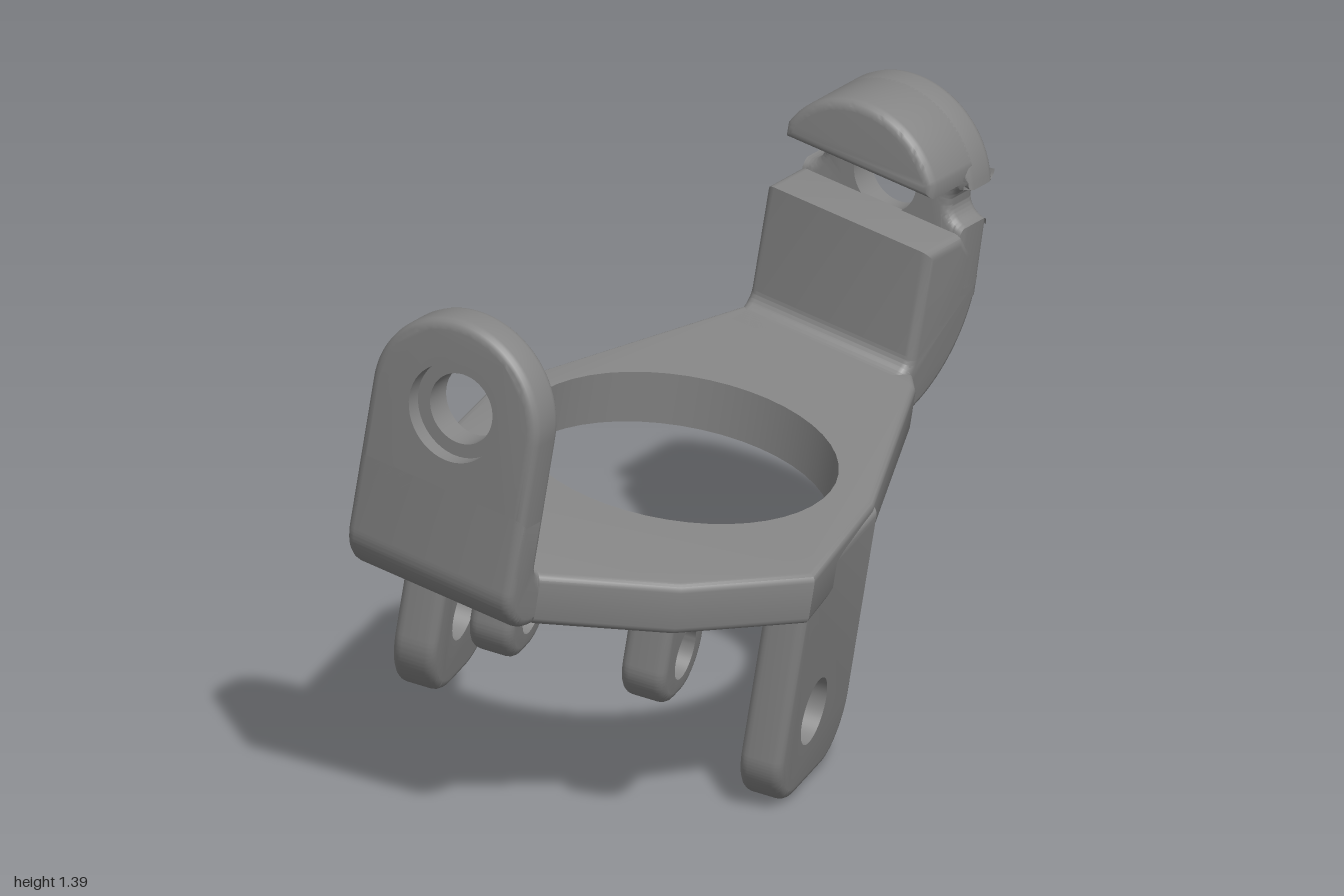
import * as THREE from 'three';
import { toCreasedNormals } from 'three/addons/utils/BufferGeometryUtils.js';

const PI = Math.PI;
const ROLL = -10 * PI / 180;      // whole bracket leans sideways
const YAW = 13.5 * PI / 180;      // leg axis is turned against the arm axis
const TOP = -0.39, BOTTOM = -0.525; // plate faces, measured from the arm pivot
const HALF = 0.24;                // half width of arms and legs

const material = new THREE.MeshStandardMaterial({ color: 0x858585 });

// Rounded slab, centred in depth; holes [x, y, r] keep straight, sharp walls
function slab(shape, depth, bevel, holes = []) {
  for (const [x, y, r] of holes) {
    const path = new THREE.Path();
    path.absarc(x, y, r, 0, 2 * PI, true);
    shape.holes.push(path);
  }
  const geo = new THREE.ExtrudeGeometry(shape, {
    depth: depth - 2 * bevel, curveSegments: 24, bevelEnabled: bevel > 0,
    bevelThickness: bevel, bevelSize: bevel, bevelOffset: -bevel, bevelSegments: 4,
  });
  geo.translate(0, 0, bevel - depth / 2);
  const p = geo.attributes.position;
  for (let i = 0; i < p.count; i++) {
    for (const [x, y, r] of holes) {
      const dx = p.getX(i) - x, dy = p.getY(i) - y, d = Math.hypot(dx, dy);
      if (d < r + bevel + 0.003) p.setXY(i, x + dx * r / d, y + dy * r / d);
    }
  }
  return toCreasedNormals(geo, 0.65);
}

function add(parent, name, geo, x = 0, y = 0, z = 0) {
  const mesh = new THREE.Mesh(geo, material);
  mesh.name = name;
  mesh.position.set(x, y, z);
  parent.add(mesh);
}

// Upright arm outline with a domed top, optionally notched at both sides
function earShape(bottom, notched) {
  const s = new THREE.Shape();
  s.moveTo(-HALF, bottom);
  s.lineTo(HALF, bottom);
  if (notched) s.absarc(0.235, 0, 0.05, -PI / 2, PI / 2, true);
  const a = notched ? 0.23 : 0;
  s.absarc(0, 0, HALF, a, PI - a, false);
  if (notched) s.absarc(-0.235, 0, 0.05, PI / 2, -PI / 2, true);
  s.closePath();
  return s;
}

// Side profile of a bend from plate to arm: inner face, outer radius, top steps
function bendShape(start, inner, R, steps) {
  const s = new THREE.Shape(), f = 0.04;
  s.moveTo(start, TOP);
  s.lineTo(start, BOTTOM);
  s.absarc(1 - R, BOTTOM + R, R, -PI / 2, 0, false);
  for (const [x, y] of steps) s.lineTo(x, y);
  s.absarc(inner - f, TOP + f, f, 0, -PI / 2, true);
  s.closePath();
  return s;
}

// Hanging lug outline with rounded lower corners
function lugShape(centre, half, top, bottom, r) {
  const s = new THREE.Shape();
  s.moveTo(centre + half, top);
  s.lineTo(centre - half, top);
  s.absarc(centre - half + r, bottom + r, r, PI, 1.5 * PI, false);
  s.absarc(centre + half - r, bottom + r, r, 1.5 * PI, 2 * PI, false);
  s.closePath();
  return s;
}

// Washer-like floor of a counterbore
function boreStep(depth) {
  const s = new THREE.Shape();
  s.absarc(0, 0, 0.125, 0, 2 * PI, false);
  return slab(s, depth, 0, [[0, 0, 0.09]]);
}

export function createModel() {
  const model = new THREE.Group();
  model.name = 'pivotBracket';
  const body = new THREE.Group();
  body.name = 'tiltedBody';
  body.position.set(-0.02, 1.145, 0);
  body.rotation.z = ROLL;
  model.add(body);

  // Base plate with the large round opening
  const cx = 0.082, cz = 0.035;
  const outline = [
    [-0.235, -0.76], [0.235, -0.76], [0.285, -0.7], [0.562, -0.105], [0.686, 0.335],
    [0.5, 0.64], [0.237, 0.87], [-0.235, 0.87], [-0.315, 0.57], [-0.412, 0.11],
  ].map(([x, z]) => new THREE.Vector2(x, z));
  const plate = slab(new THREE.Shape(outline), TOP - BOTTOM, 0.02, [[cx, cz, 0.39]]);
  plate.rotateX(PI / 2);
  add(body, 'basePlate', plate, 0, (TOP + BOTTOM) / 2, 0);

  // Front arm: bend, upright ear and counterbored pivot hole
  const frontBend = slab(
    bendShape(0.8, 0.89, 0.125, [[1, -0.2], [0.89, -0.2]]), 2 * HALF, 0.025);
  frontBend.rotateY(-PI / 2);
  add(body, 'frontBend', frontBend);
  add(body, 'frontEar', slab(earShape(-0.36, false), 0.11, 0.025, [[0, 0, 0.125]]), 0, 0, 0.945);
  add(body, 'frontBoreStep', boreStep(0.07), 0, 0, 0.925);

  // Rear arm: wide bend with a cross pin hole, notched ear, flat-sided cap over a slot
  const rearBend = slab(
    bendShape(0.64, 0.74, 0.32, [[1, -0.2], [0.95, -0.2], [0.95, -0.13], [0.89, -0.068], [0.74, -0.068]]),
    2 * HALF, 0.025, [[0.83, -0.2, 0.05]]);
  rearBend.rotateY(PI / 2);
  add(body, 'rearBend', rearBend);
  add(body, 'rearEar', slab(earShape(-0.26, true), 0.115, 0.025, [[0, 0, 0.125]]), 0, 0, -0.9425);
  add(body, 'rearBoreStep', boreStep(0.075), 0, 0, -0.9225);
  const cap = new THREE.Shape();
  cap.moveTo(-0.215, 0.068);
  cap.lineTo(0.215, 0.068);
  cap.absarc(0, 0, HALF, 0.46, PI - 0.46, false);
  cap.closePath();
  add(body, 'rearCap', slab(cap, 0.2, 0.025), 0, 0, -0.84);

  // Legs and small lugs share one turned hinge direction
  const hinge = new THREE.Group();
  hinge.name = 'hingeLegs';
  hinge.position.set(cx, 0, cz);
  hinge.rotation.y = YAW;
  body.add(hinge);

  const legs = [['leftLeg', 0.455, 0.15], ['rightLeg', -0.448, 0.19]];
  for (const [name, x, r] of legs) {
    const leg = slab(lugShape(0.195, HALF, -0.41, -1.055, r), 0.11, 0.025, [[0.235, -0.845, 0.085]]);
    leg.rotateY(-PI / 2);
    add(hinge, name, leg, x);
  }

  for (const side of [1, -1]) {
    const lug = slab(lugShape(0.535, 0.14, -0.42, -0.76, 0.12), 0.115, 0.025, [[0.53, -0.64, 0.068]]);
    lug.rotateY(-PI / 2);
    add(hinge, side > 0 ? 'leftLug' : 'rightLug', lug, side * 0.197);
  }
  return model;
}
